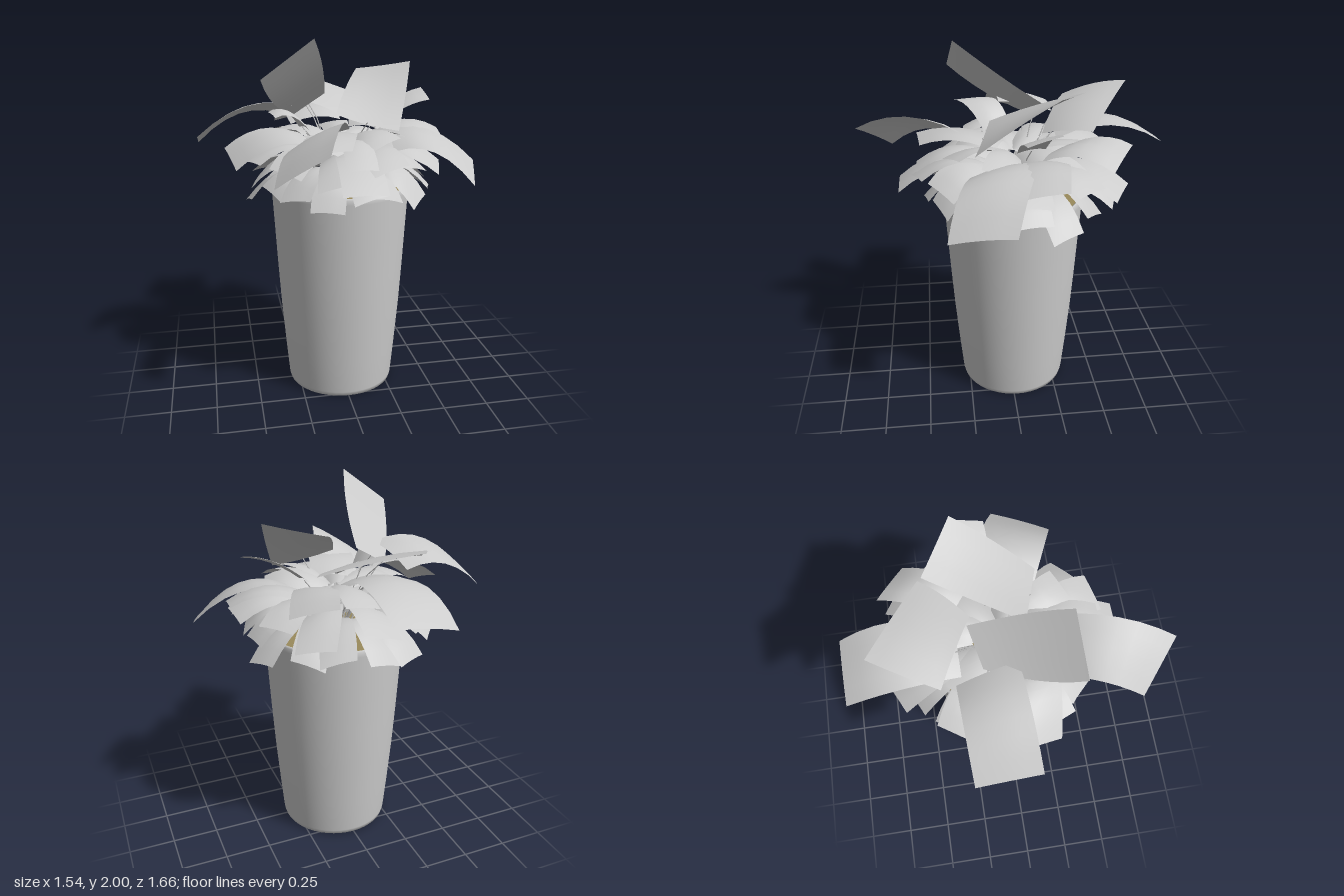
import * as THREE from 'three';

const grey = new THREE.MeshStandardMaterial({ color: 0xcccccc });
const leafGrey = new THREE.MeshStandardMaterial({ color: 0xcccccc, side: THREE.DoubleSide });
const soilBrown = new THREE.MeshStandardMaterial({ color: 0x9a8a5c });
const CX = 0.005, CZ = -0.022; // pot axis

function add(parent, name, geometry, material) {
  const mesh = new THREE.Mesh(geometry, material);
  mesh.name = name;
  parent.add(mesh);
  return mesh;
}

// Leaf card stretched between four corners: base left, base right, tip left,
// tip right (looking out along it). arch lifts its middle, bow its midrib,
// bulge widens it halfway along.
function leafGeometry([bl, br, tl, tr], arch, bow, bulge) {
  const geo = new THREE.PlaneGeometry(1, 1, 4, 6);
  const pos = geo.attributes.position;
  const [a, b, c, d] = [bl, br, tl, tr].map((p) => new THREE.Vector3(...p));
  const near = new THREE.Vector3(), far = new THREE.Vector3();
  for (let i = 0; i < pos.count; i++) {
    const v = pos.getY(i) + 0.5, hump = 4 * v * (1 - v);
    const u = pos.getX(i) * (1 + bulge * hump) + 0.5;
    near.lerpVectors(a, b, u);
    far.lerpVectors(c, d, u);
    near.lerp(far, v);
    near.y += arch * hump + bow * 4 * u * (1 - u) * (1 - 0.7 * v);
    pos.setXYZ(i, near.x, near.y, near.z);
  }
  geo.computeVertexNormals();
  return geo;
}

// Thin stalk curving up from the soil to the base of a leaf
function stemGeometry(corners) {
  const end = new THREE.Vector3(...corners[0]).lerp(new THREE.Vector3(...corners[1]), 0.5);
  const start = new THREE.Vector3(CX + end.x * 0.2, 1.1, CZ + end.z * 0.2);
  const bend = new THREE.Vector3(start.x * 0.6 + end.x * 0.4, end.y - 0.08, start.z * 0.6 + end.z * 0.4);
  return new THREE.TubeGeometry(new THREE.QuadraticBezierCurve3(start, bend, end), 6, 0.003, 4);
}

// Corners of a leaf pointing out at an angle (0 = front, 90 = the model's left)
function radialCorners(angle, r0, y0, r1, y1, w0, w1, tilt) {
  const t = THREE.MathUtils.degToRad(angle);
  const at = (r, side, y) => [
    CX + Math.sin(t) * r + Math.cos(t) * side, y, CZ + Math.cos(t) * r - Math.sin(t) * side];
  return [at(r0, w0 / 2, y0 + tilt), at(r0, -w0 / 2, y0 - tilt),
    at(r1, w1 / 2, y1 + tilt), at(r1, -w1 / 2, y1 - tilt)];
}

export function createModel() {
  const model = new THREE.Group();

  // Pot: tapered, with rounded foot and a thin rim
  const profile = [[0, 0], [0.285, 0], [0.302, 0.006], [0.308, 0.03], [0.325, 0.22], [0.346, 0.48],
    [0.361, 0.72], [0.373, 0.94], [0.386, 1.17], [0.385, 1.195], [0.378, 1.205], [0.369, 1.2],
    [0.362, 1.17], [0.356, 1.08]].map(([r, y]) => new THREE.Vector2(r, y));
  add(model, 'pot', new THREE.LatheGeometry(profile, 48), grey).position.set(CX, 0, CZ);

  // Soil
  add(model, 'soil', new THREE.CylinderGeometry(0.358, 0.358, 0.04, 40), soilBrown).position.set(CX, 1.13, CZ);

  const foliage = new THREE.Group();
  foliage.name = 'foliage';
  model.add(foliage);
  const leaf = (name, corners, arch, bow, bulge = 0.04) => {
    add(foliage, name, leafGeometry(corners, arch, bow, bulge), leafGrey);
    add(foliage, name + 'Stem', stemGeometry(corners), leafGrey);
  };

  // Large upper leaves, each with its own lean
  leaf('tallLeaf', [[-0.05, 1.68, -0.19], [-0.24, 1.57, -0.14], [-0.18, 2.0, 0.28], [-0.45, 1.81, 0.31]], -0.02, 0, 0.15);
  leaf('raisedLeftLeaf', [[-0.04, 1.6, 0.1], [0.28, 1.52, 0.2], [0.17, 1.8, -0.37], [0.45, 1.85, -0.2]], 0.01, -0.01);
  leaf('raisedBackLeaf', [[-0.34, 1.65, -0.35], [0.05, 1.55, -0.17], [-0.18, 1.76, -0.67], [0.25, 1.62, -0.4]], 0.02, 0.03);
  leaf('wideRightLeaf', [[-0.25, 1.64, 0.03], [-0.3, 1.56, -0.28], [-0.77, 1.5, 0.07], [-0.77, 1.41, -0.26]], 0.08, 0.02, 0);
  leaf('wideBackLeaf', [[-0.24, 1.5, -0.25], [0.05, 1.52, -0.25], [-0.28, 1.43, -0.83], [0.05, 1.48, -0.83]], 0.09, 0.03, 0.1);
  leaf('wideLeftLeaf', [[0.28, 1.47, -0.14], [0.26, 1.41, 0.2], [0.77, 1.31, 0.04], [0.66, 1.24, 0.36]], 0.09, 0.03);
  leaf('wideFrontLeaf', [[0, 1.55, 0.26], [-0.28, 1.42, 0.24], [-0.2, 1.53, 0.83], [-0.43, 1.35, 0.65]], 0.08, 0.02);
  leaf('frontRightLeaf', [[0.08, 1.47, 0.08], [-0.14, 1.45, 0.0], [-0.03, 1.48, 0.48], [-0.3, 1.46, 0.5]], 0.05, 0.02, 0.1);
  leaf('backLeftLeaf', [[0.1, 1.47, -0.26], [0.26, 1.47, -0.14], [0.22, 1.53, -0.62], [0.42, 1.46, -0.48]], 0.06, 0.02);
  leaf('sideLeftLeaf', [[0.2, 1.52, -0.17], [0.2, 1.5, -0.02], [0.52, 1.7, -0.2], [0.52, 1.65, -0.03]], 0.03, 0.01);
  leaf('lowLeftLeaf', [[0.25, 1.44, -0.28], [0.2, 1.44, -0.05], [0.63, 1.46, -0.22], [0.6, 1.42, 0.0]], 0.06, 0.02);
  leaf('sideRightLeaf', [[-0.2, 1.47, 0.24], [-0.25, 1.5, 0.02], [-0.58, 1.34, 0.2], [-0.63, 1.42, -0.02]], 0.06, 0.02);
  leaf('frontLeaf', [[0.12, 1.39, 0.16], [-0.07, 1.39, 0.16], [0.13, 1.28, 0.6], [-0.1, 1.28, 0.6]], 0.07, 0.02);
  leaf('innerRightLeaf', [[-0.17, 1.5, 0.12], [-0.22, 1.52, -0.03], [-0.38, 1.62, 0.28], [-0.4, 1.62, 0.08]], 0.05, 0.02);
  leaf('innerFrontLeaf', [[0.1, 1.44, 0.12], [-0.02, 1.44, 0.12], [0.1, 1.38, 0.5], [-0.06, 1.38, 0.5]], 0.06, 0.02, 0.1);

  const wobble = (i, k) => Math.sin(i * k + 1);
  // Tiers of arching leaves reach a little further towards the back
  const tier = (name, count, turn, r0, y0, reach, y1, w0, w1, arch) => {
    for (let i = 0; i < count; i++) {
      const angle = turn + i * 360 / count + 4 * wobble(i, 3.1);
      const r = reach - 0.04 * Math.cos(THREE.MathUtils.degToRad(angle)) + 0.03 * wobble(i, 2.7);
      const y = y1 + 0.04 * wobble(i, 1.9);
      const corners = radialCorners(angle, r0, y0, r, y, w0, w1, 0.025 * wobble(i, 3.7));
      leaf(name, corners, arch, 0.02, 0.12);
    }
  };
  tier('innerLeaf', 7, 25, 0.03, 1.42, 0.4, 1.44, 0.1, 0.18, 0.05);
  tier('middleLeaf', 13, 14, 0.15, 1.37, 0.56, 1.34, 0.14, 0.2, 0.07);
  tier('lowerLeaf', 16, 5, 0.17, 1.28, 0.5, 1.18, 0.12, 0.18, 0.08);
  return model;
}
